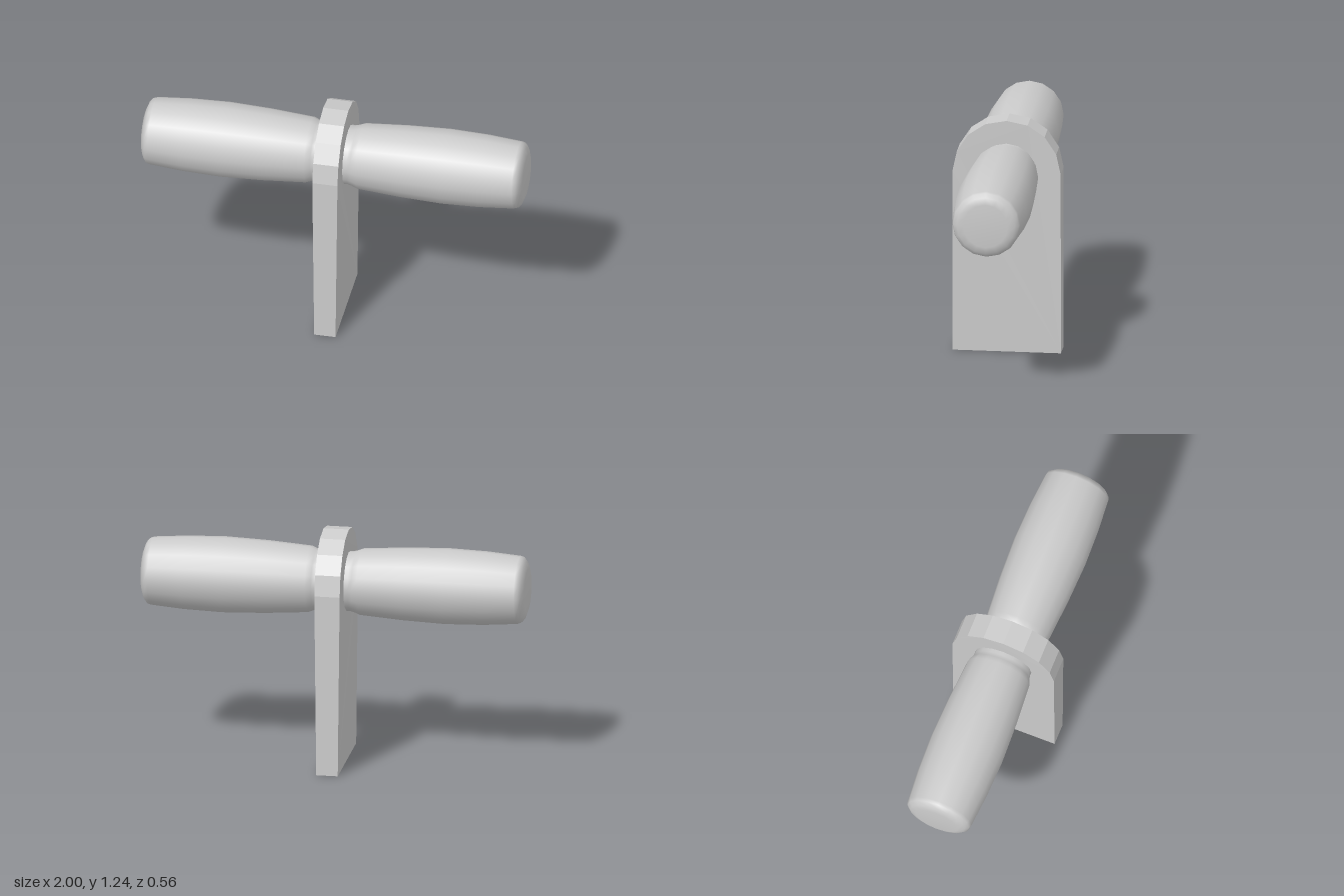
import * as THREE from 'three';

const AXIS_Y = 0.967;

// Arched plate, slightly thinner toward its foot, hollow and open underneath
function createPlate(material) {
  const half = [[0.28, 0], [0.28, 0.965], [0.257, 1.072], [0.197, 1.164], [0.109, 1.223], [0, 1.244]];
  const mirrored = half.slice(0, -1).reverse().map(([z, y]) => [-z, y]);
  const shape = new THREE.Shape([...half, ...mirrored].map(([z, y]) => new THREE.Vector2(z, y)));
  const solid = new THREE.ExtrudeGeometry(shape, { depth: 2, bevelEnabled: false });
  solid.translate(0, 0, -1).rotateY(Math.PI / 2);

  const pos = solid.attributes.position;
  const kept = [];
  for (let i = 0; i < pos.count; i += 3) {
    // leave out the bottom face
    if ([0, 1, 2].every((k) => pos.getY(i + k) < 1e-4)) continue;
    for (let k = 0; k < 3; k++) {
      const y = pos.getY(i + k);
      const halfWidth = THREE.MathUtils.lerp(0.056, 0.066, Math.min(y / 0.965, 1));
      kept.push(pos.getX(i + k) * halfWidth - 0.001, y, pos.getZ(i + k));
    }
  }
  const geometry = new THREE.BufferGeometry();
  geometry.setAttribute('position', new THREE.Float32BufferAttribute(kept, 3));
  geometry.computeVertexNormals();
  const plate = new THREE.Mesh(geometry, material);
  plate.name = 'archedPlate';
  return plate;
}

// Barrel-shaped grip with a narrow neck and a rounded end
function createGrip(side, material) {
  const profile = [
    [0.155, 0], [0.155, 0.085], [0.16, 0.105], [0.172, 0.135],
    [0.188, 0.36], [0.196, 0.58], [0.19, 0.78], [0.176, 0.955],
    [0.17, 0.973], [0.15, 0.988], [0.115, 1], [0, 1],
  ].map(([r, x]) => new THREE.Vector2(r, x));
  const geometry = new THREE.LatheGeometry(profile, 16);
  geometry.rotateZ(-side * Math.PI / 2);
  const grip = new THREE.Mesh(geometry, material);
  grip.name = side > 0 ? 'leftGrip' : 'rightGrip';
  grip.position.y = AXIS_Y;
  return grip;
}

export function createModel() {
  const model = new THREE.Group();
  model.name = 'handle';
  const material = new THREE.MeshStandardMaterial({ color: 0xcccccc, side: THREE.DoubleSide });
  model.add(createPlate(material));
  for (const side of [1, -1]) model.add(createGrip(side, material));
  return model;
}
